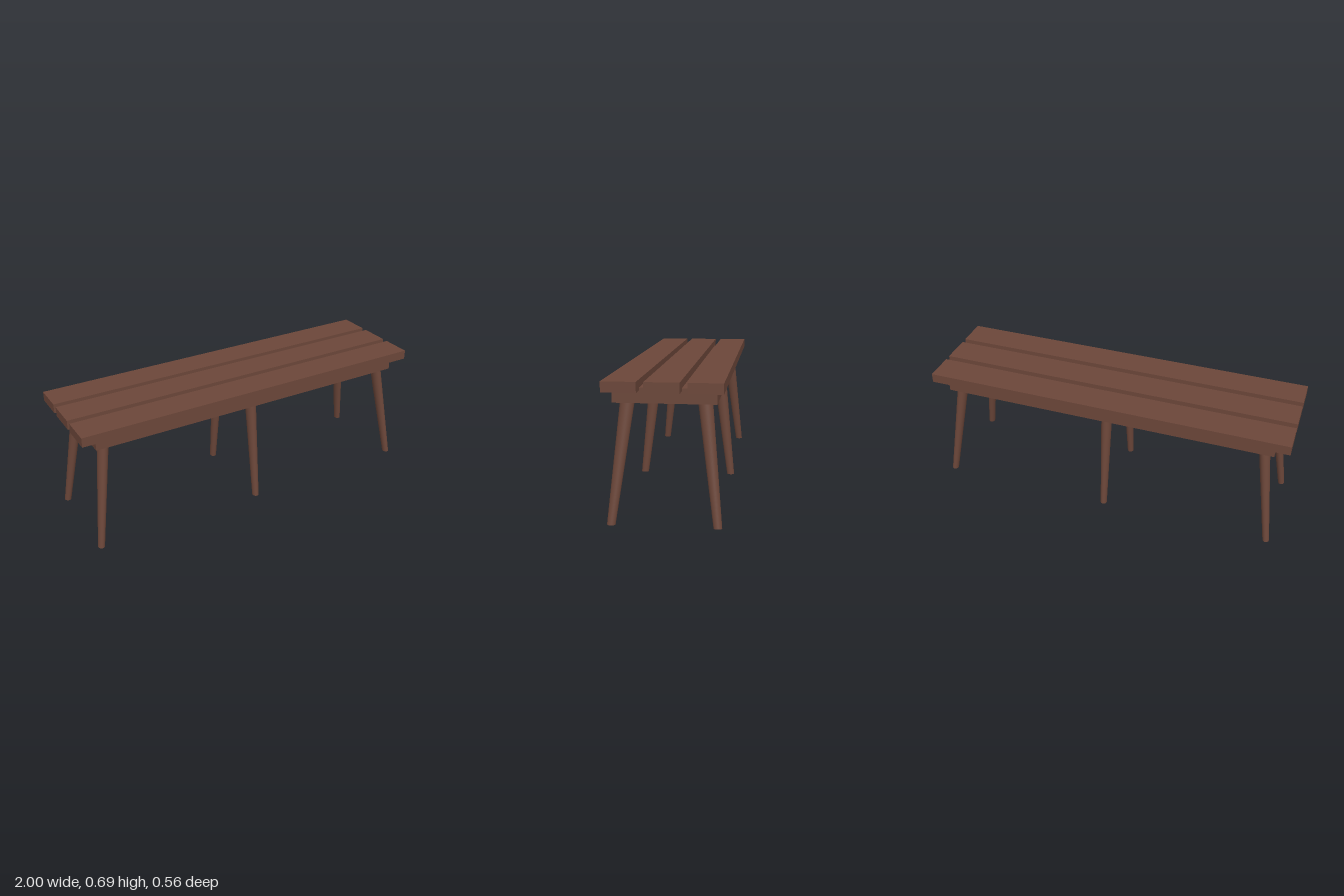
import * as THREE from 'three';

const LEG_TOP = 0.58;

// Tapered, splayed leg with level ends: an oval cylinder sheared from foot to top.
function legGeometry(foot, top) {
  const g = new THREE.CylinderGeometry(1, 1, 1, 32, 1);
  const p = g.attributes.position;
  const n = g.attributes.normal;
  for (let i = 0; i < p.count; i++) {
    const t = p.getY(i) + 0.5;
    const rx = THREE.MathUtils.lerp(0.018, 0.029, t);
    const rz = THREE.MathUtils.lerp(0.0205, 0.035, t);
    p.setXYZ(
      i,
      THREE.MathUtils.lerp(foot.x, top.x, t) + p.getX(i) * rx,
      t * LEG_TOP,
      THREE.MathUtils.lerp(foot.y, top.y, t) + p.getZ(i) * rz
    );
  }
  g.computeVertexNormals();
  // Close the shading seam where the side wall meets itself.
  for (const row of [0, 33]) {
    const a = new THREE.Vector3().fromBufferAttribute(n, row);
    a.add(new THREE.Vector3().fromBufferAttribute(n, row + 32)).normalize();
    n.setXYZ(row, a.x, a.y, a.z);
    n.setXYZ(row + 32, a.x, a.y, a.z);
  }
  return g;
}

export function createModel() {
  const bench = new THREE.Group();
  bench.name = 'bench';
  const wood = new THREE.MeshStandardMaterial({ color: 0x6b4639 });
  wood.name = 'brown wood';

  const add = (name, geometry, x = 0, y = 0, z = 0) => {
    const mesh = new THREE.Mesh(geometry, wood);
    mesh.name = name;
    mesh.position.set(x, y, z);
    bench.add(mesh);
  };

  // Three seat planks with narrow gaps
  const plank = new THREE.BoxGeometry(2, 0.051, 0.164);
  [['front', 0.198], ['middle', 0], ['back', -0.198]].forEach(([side, z]) =>
    add(side + 'SeatPlank', plank, 0, 0.6595, z));

  // Solid base under the planks, showing in the gaps
  add('seatBase', new THREE.BoxGeometry(1.84, 0.073, 0.489), 0, 0.6105, 0);

  // Three pairs of splayed legs
  const columns = [['right', -0.945, -0.86], ['middle', 0, 0], ['left', 0.96, 0.868]];
  const rows = [['Front', 0.248, 0.18], ['Back', -0.254, -0.186]];
  for (const [side, footX, topX] of columns) {
    for (const [end, footZ, topZ] of rows) {
      add(side + end + 'Leg', legGeometry(
        new THREE.Vector2(footX, footZ), new THREE.Vector2(topX, topZ)));
    }
  }
  return bench;
}
